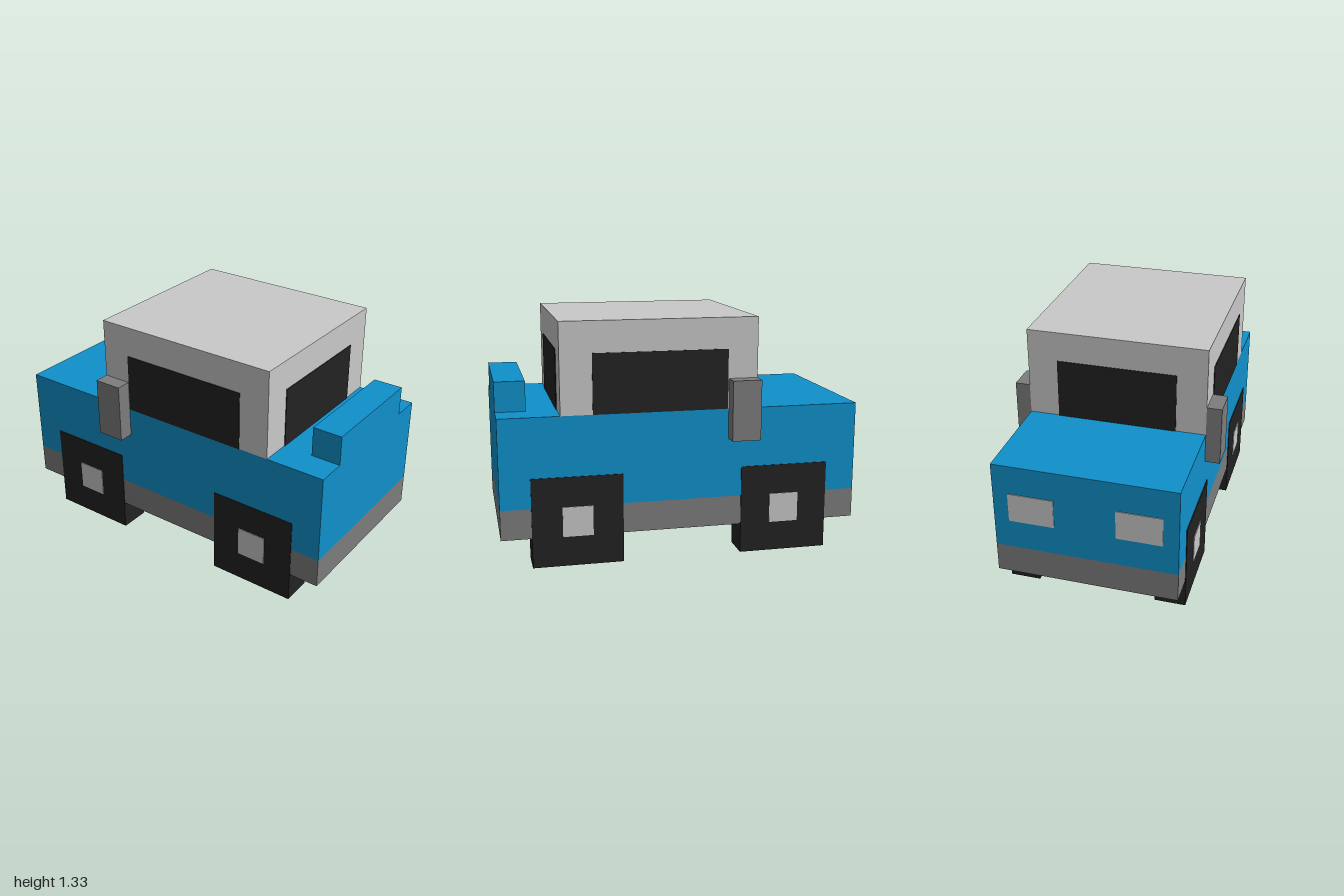
import * as THREE from 'three';

const U = 1 / 12; // block unit
const T = 0.004;  // thickness of painted plates

function makeMaterial(name, color) {
  const m = new THREE.MeshStandardMaterial({ color });
  m.name = name;
  return m;
}

export function createModel() {
  const car = new THREE.Group();
  car.name = 'blockCar';
  const blue = makeMaterial('bluePaint', 0x0f91cb);
  const light = makeMaterial('lightGrey', 0xc9c9c9);
  const grey = makeMaterial('midGrey', 0x7d7d7d);
  const black = makeMaterial('black', 0x222222);

  // Box between two corners
  function box(name, material, x0, x1, y0, y1, z0, z1) {
    const mesh = new THREE.Mesh(new THREE.BoxGeometry(x1 - x0, y1 - y0, z1 - z0), material);
    mesh.position.set((x0 + x1) / 2, (y0 + y1) / 2, (z0 + z1) / 2);
    mesh.name = name;
    car.add(mesh);
  }
  // Box given by its near and far distance from the centre plane, on side s
  function sideBox(name, material, s, x0, x1, y0, y1, near, far) {
    box(name, material, x0, x1, y0, y1, Math.min(s * near, s * far), Math.max(s * near, s * far));
  }

  // Chassis, body, cab and tail spoiler (the car drives toward -x)
  box('chassis', grey, -1, 1, 2 * U, 4 * U, -0.5, 0.5);
  box('body', blue, -1, 1, 4 * U, 10 * U, -0.5, 0.5);
  box('cab', light, -5 * U, 8 * U, 10 * U, 16 * U, -0.5, 0.5);
  box('spoiler', blue, 10 * U, 1, 10 * U, 1, -4 * U, 4 * U);

  // Windscreen and rear window
  box('windscreen', black, -5 * U - T, -5 * U, 10 * U, 14 * U, -4 * U, 4 * U);
  box('rearWindow', black, 8 * U, 8 * U + T, 10 * U, 14 * U, -4 * U, 4 * U);

  for (const s of [1, -1]) {
    sideBox('sideWindow', black, s, -3 * U, 5.92 * U, 10 * U, 13.95 * U, 0.5, 0.5 + T);
    sideBox('mirror', grey, s, -5 * U, -3.07 * U, 8 * U, 12 * U, 0.5, 7 * U);
    sideBox('headlight', light, s, -1 - T, -1, 6 * U, 8 * U, 2 * U, 5 * U);

    // Square wheels with hub plates
    for (const x of [-7 * U, 7 * U]) {
      sideBox('wheel', black, s, x - 3 * U, x + 3 * U, 0, 6 * U, 4 * U, 0.5 + T);
      sideBox('hub', light, s, x - U, x + U, 2 * U, 4 * U, 0.5 + T, 0.5 + 2 * T);
    }
  }
  return car;
}
